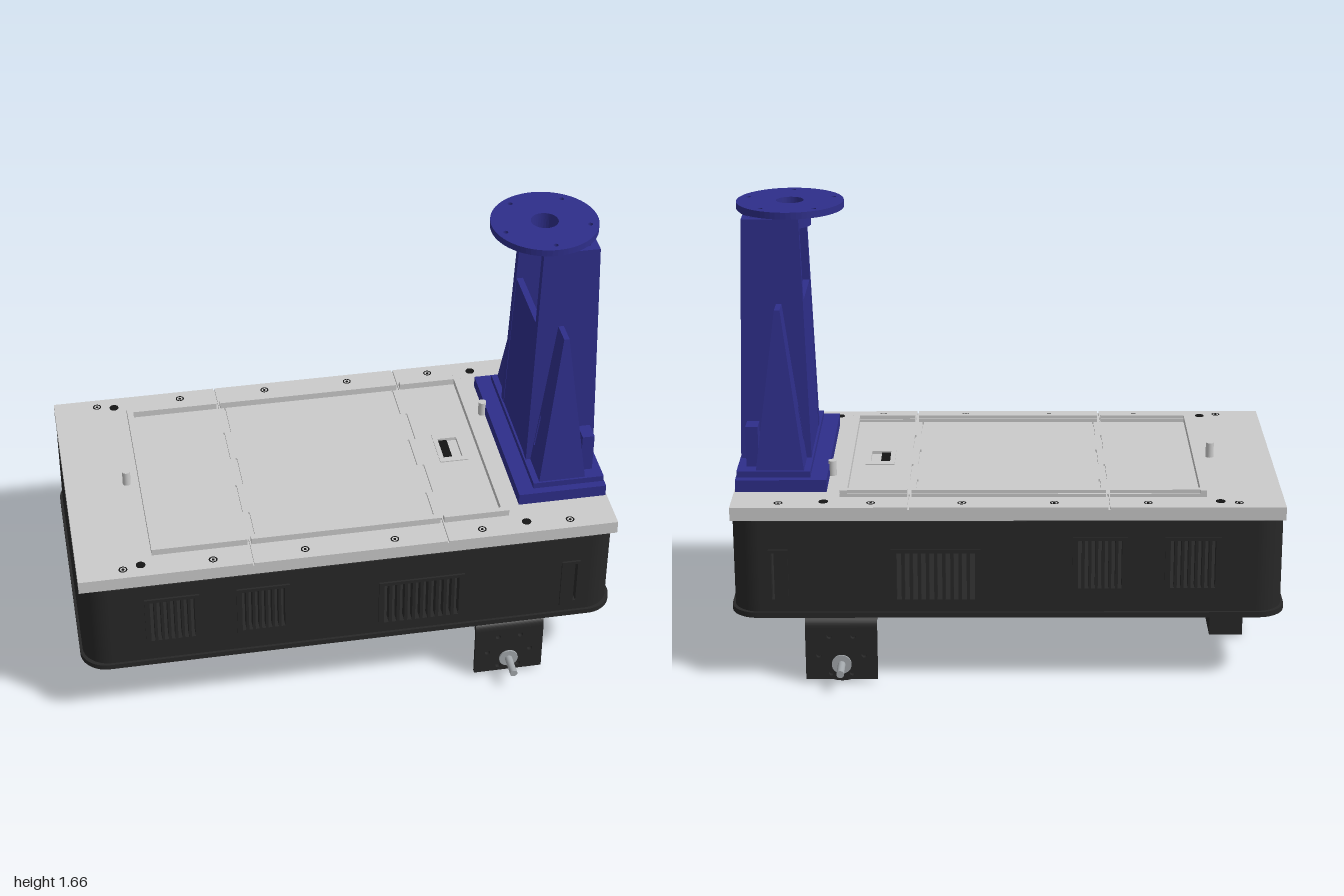
import * as THREE from 'three';

const mat = (name, color, side = THREE.FrontSide) =>
  Object.assign(new THREE.MeshStandardMaterial({ color, side }), { name });

export function createModel() {
  const root = new THREE.Group();
  const black = mat('black plastic', 0x272727);
  const grey = mat('light grey lid', 0xcacaca);
  const blue = mat('blue tower', 0x2e2e8a);
  const steel = mat('motor steel', 0xa3a8ac);
  const dark = mat('dark fasteners', 0x141414);

  const add = (name, geo, m, parent = root) => {
    const mesh = new THREE.Mesh(geo, m);
    mesh.name = name;
    parent.add(mesh);
    return mesh;
  };
  // box from min/max limits
  const box = (name, m, x0, x1, y0, y1, z0, z1, parent) =>
    add(name, new THREE.BoxGeometry(x1 - x0, y1 - y0, z1 - z0)
      .translate((x0 + x1) / 2, (y0 + y1) / 2, (z0 + z1) / 2), m, parent);
  const cylY = (name, m, r, x, y0, y1, z, parent) =>
    add(name, new THREE.CylinderGeometry(r, r, y1 - y0, 24).translate(x, (y0 + y1) / 2, z), m, parent);
  const cylZ = (name, m, r, x, y, z0, z1, parent, n = 32) =>
    add(name, new THREE.CylinderGeometry(r, r, z1 - z0, n).rotateX(Math.PI / 2)
      .translate(x, y, (z0 + z1) / 2), m, parent);
  const poly = (pts) => new THREE.Shape(pts.map(([a, b]) => new THREE.Vector2(a, b)));
  const rect = (a0, a1, b0, b1) => poly([[a0, b0], [a1, b0], [a1, b1], [a0, b1]]);
  const circle = (x, y, r) => new THREE.Shape().absarc(x, y, r, 0, Math.PI * 2);
  const extrude = (shape, depth) =>
    new THREE.ExtrudeGeometry(shape, { depth, bevelEnabled: false, curveSegments: 16 });
  // plan shape drawn as (x, -z), raised from y0 to y1
  const slab = (shape, y0, y1) => extrude(shape, y1 - y0).rotateX(-Math.PI / 2).translate(0, y0, 0);
  const roundRect = (w, d, r) => new THREE.Shape()
    .moveTo(-w + r, -d).lineTo(w - r, -d).absarc(w - r, -d + r, r, -Math.PI / 2, 0)
    .lineTo(w, d - r).absarc(w - r, d - r, r, 0, Math.PI / 2)
    .lineTo(-w + r, d).absarc(-w + r, d - r, r, Math.PI / 2, Math.PI)
    .lineTo(-w, -d + r).absarc(-w + r, -d + r, r, Math.PI, Math.PI * 1.5);

  // Hollow body: floor flange, rounded ends, slotted long walls
  add('floorFlange', slab(roundRect(1, 0.55, 0.1), 0.262, 0.282), black);
  const R = 0.1, T = 0.03, EX = 0.99, EZ = 0.54;
  const end = new THREE.Shape()
    .moveTo(EX - R, -EZ).absarc(EX - R, -EZ + R, R, -Math.PI / 2, 0)
    .lineTo(EX, EZ - R).absarc(EX - R, EZ - R, R, 0, Math.PI / 2)
    .lineTo(EX - R, EZ - T).absarc(EX - R, EZ - R, R - T, Math.PI / 2, 0, true)
    .lineTo(EX - T, -EZ + R).absarc(EX - R, -EZ + R, R - T, 0, -Math.PI / 2, true);
  for (const turn of [0, Math.PI])
    add('bodyEnd', slab(end, 0.282, 0.63), black).rotation.y = turn;

  // Vents: x0, x1, y0, y1, slot count
  const vents = [
    [-0.747, -0.575, 0.375, 0.557, 7], [-0.412, -0.245, 0.375, 0.557, 7],
    [0.113, 0.405, 0.332, 0.51, 10], [0.836, 0.848, 0.332, 0.51, 1],
  ];
  const wall = rect(-EX + R, EX - R, 0.282, 0.63);
  const frames = [];
  for (const [x0, x1, y0, y1, n] of vents) {
    const pitch = (x1 - x0) / n, w = n > 1 ? pitch * 0.6 : 0.01;
    const frame = n > 1 ? rect(x0 - 0.014, x1 + 0.014, y0 - 0.015, y1 + 0.013)
      : rect(0.787, 0.857, 0.31, 0.522);
    for (let i = 0; i < n; i++) {
      const c = x0 + (i + 0.5) * pitch;
      wall.holes.push(rect(c - w / 2, c + w / 2, y0, y1));
      frame.holes.push(rect(c - w / 2, c + w / 2, y0, y1));
    }
    frames.push(frame);
  }
  for (const s of [1, -1]) {
    add('bodyWall', extrude(wall, T).translate(0, 0, s > 0 ? EZ - T : -EZ), black);
    for (const f of frames)
      add('ventFrame', extrude(f, 0.008).translate(0, 0, s > 0 ? EZ : -EZ - 0.008), black);
  }
  box('castorBlock', black, -0.89, -0.765, 0.01, 0.265, -0.14, 0.14);

  // Lid: base plate and three interlocking panels
  const LZ = 0.535;
  box('lidBase', grey, -0.99, 0.99, 0.63, 0.671, -LZ, LZ);
  const seam = (flat, tab, d) => {
    const pts = [[flat + d, -LZ]];
    const zs = [-0.4, -0.245, -0.08, 0.08, 0.245, 0.4];
    zs.forEach((z, i) => {
      const a = i % 2 ? tab : flat, b = i % 2 ? flat : tab;
      pts.push([a + d, z], [b + d, z]);
    });
    pts.push([flat + d, LZ]);
    return pts;
  };
  const g = 0.003;
  const leftPanel = poly([[-0.99, LZ], [-0.99, -LZ], ...seam(-0.36, -0.335, -g)]);
  const midPanel = poly([...seam(-0.36, -0.335, g).reverse(), ...seam(0.355, 0.33, -g)]);
  const rightPanel = poly([...seam(0.355, 0.33, g).reverse(), [0.99, -LZ], [0.99, LZ]]);
  rightPanel.holes.push(rect(0.44, 0.512, -0.055, 0.06));
  for (const p of [leftPanel, midPanel, rightPanel]) add('lidPanel', slab(p, 0.671, 0.68), grey);

  // Raised hatch rim
  for (const s of [1, -1])
    for (const [a, b] of [[-0.715, -0.367], [-0.352, 0.347], [0.362, 0.605]]) {
      box('hatchRim', grey, a, b, 0.68, 0.705, s * 0.415 - 0.008, s * 0.415 + 0.014);
      box('hatchRimStep', grey, a, b, 0.68, 0.692, s * 0.415 - 0.014, s * 0.415 + 0.014);
    }
  for (const [a, b] of [[-0.715, -0.692], [0.578, 0.603]]) {
    box('hatchRimEnd', grey, a, b, 0.68, 0.705, -0.429, 0.429);
  }

  // Switch window and guide pegs
  const bezel = rect(0.422, 0.53, -0.08, 0.09);
  bezel.holes.push(rect(0.44, 0.512, -0.055, 0.06));
  add('switchBezel', slab(bezel, 0.68, 0.684), grey);
  box('switch', dark, 0.441, 0.475, 0.671, 0.677, -0.058, 0.053);
  cylY('peg', grey, 0.015, -0.76, 0.68, 0.737, 0);
  cylY('peg', grey, 0.015, 0.645, 0.68, 0.737, -0.195);

  // Lid screws
  for (const s of [1, -1]) {
    for (const x of [-0.825, -0.5, -0.165, 0.165, 0.49, 0.82]) {
      add('screwRing', new THREE.RingGeometry(0.011, 0.016, 20).rotateX(-Math.PI / 2)
        .translate(x, 0.6815, s * 0.49), dark);
      cylY('screwCentre', dark, 0.005, x, 0.68, 0.682, s * 0.49);
    }
    for (const x of [-0.76, 0.66]) cylY('screwHole', dark, 0.017, x, 0.68, 0.682, s * 0.475);
  }

  // Tower, tapering upward
  const tower = new THREE.Group();
  tower.name = 'tower';
  root.add(tower);
  const taper = (geo, cx, y0, y1, kx, kz = 1) => {
    const p = geo.attributes.position;
    for (let i = 0; i < p.count; i++) {
      const t = (p.getY(i) - y0) / (y1 - y0);
      p.setX(i, cx + (p.getX(i) - cx) * (1 + (kx - 1) * t));
      p.setZ(i, p.getZ(i) * (1 + (kz - 1) * t));
    }
    geo.computeVertexNormals();
    return geo;
  };
  box('towerBase', blue, 0.655, 0.985, 0.68, 0.725, -0.375, 0.375, tower);
  box('towerStep', blue, 0.715, 0.982, 0.725, 0.748, -0.345, 0.345, tower);
  const channel = poly([[0.72, -0.2], [0.98, -0.2], [0.98, 0.2], [0.72, 0.2],
    [0.72, 0.165], [0.945, 0.165], [0.945, -0.165], [0.72, -0.165]]);
  add('towerColumn', taper(slab(channel, 0.725, 1.64), 0.85, 0.725, 1.64, 0.79, 0.85), blue, tower);
  const panel = slab(rect(0.722, 0.75, -0.166, 0.166), 0.725, 1.33);
  add('towerPanel', taper(panel, 0.85, 0.725, 1.64, 0.79, 0.85), blue, tower);

  // Side gussets with a slot beside the column
  const gusset = poly([[-0.34, 0.725], [-0.16, 0.725], [-0.16, 1.33], [-0.265, 1.33]]);
  gusset.holes.push(rect(-0.212, -0.2, 0.82, 0.95));
  for (const s of [1, -1]) {
    const geo = extrude(gusset, 0.18).rotateY(Math.PI / 2).translate(-0.09, 0, 0);
    const m = add('gusset', taper(geo, 0, 0.725, 1.33, 0.11), blue, tower);
    m.position.x = 0.825;
    m.rotation.y = s > 0 ? 0 : Math.PI;
    const z = s * 0.26;
    box('gussetRib', blue, 0.905, 0.95, 0.745, 0.9, z - 0.035, z + 0.035, tower);
  }

  // Mounting disc, hub and supporting cone
  const disc = circle(0.79, 0, 0.195);
  disc.holes.push(circle(0.79, 0, 0.05));
  for (let i = 0; i < 5; i++) {
    const a = -Math.PI / 2 + i * Math.PI * 0.4;
    disc.holes.push(circle(0.79 + 0.163 * Math.cos(a), 0.163 * Math.sin(a), 0.009));
  }
  add('mountDisc', new THREE.ExtrudeGeometry(disc, { depth: 0.025, bevelEnabled: false, curveSegments: 32 })
    .rotateX(-Math.PI / 2).translate(0, 1.645, 0), blue, tower);
  const hub = circle(0.79, 0, 0.075);
  hub.holes.push(circle(0.79, 0, 0.05));
  add('discHub', slab(hub, 1.58, 1.645), blue, tower);
  const blueOpen = blue.clone();
  blueOpen.name = 'blue tower open';
  blueOpen.side = THREE.DoubleSide;
  add('discCone', new THREE.CylinderGeometry(0.195, 0.155, 0.035, 24, 1, true, Math.PI / 2 - 0.75, 1.5)
    .translate(0.79, 1.6275, 0), blueOpen, tower);

  // Drive units: bent bracket, motor and shaft
  for (const s of [1, -1]) {
    const u = new THREE.Group();
    u.name = 'driveUnit';
    u.position.x = 0.603;
    u.rotation.y = s > 0 ? 0 : Math.PI;
    root.add(u);
    const plate = rect(-0.13, 0.13, 0.018, 0.22);
    for (const [x, y] of [[0.043, 0.187], [0.082, 0.113], [0.038, 0.042]])
      for (const k of [1, -1]) plate.holes.push(circle(k * x, y, 0.01));
    add('bracketPlate', extrude(plate, 0.015).translate(0, 0, 0.53), black, u);
    // bend and top flange, drawn as (-z, y)
    const bend = new THREE.Shape().moveTo(-0.545, 0.22)
      .absarc(-0.5, 0.218, 0.045, Math.PI, Math.PI / 2, true)
      .lineTo(-0.3, 0.263).lineTo(-0.3, 0.245).lineTo(-0.5, 0.245)
      .absarc(-0.5, 0.215, 0.03, Math.PI / 2, Math.PI).lineTo(-0.53, 0.22);
    add('bracketFlange', extrude(bend, 0.26).rotateY(Math.PI / 2).translate(-0.13, 0, 0), black, u);
    cylZ('gearboxCap', black, 0.105, 0, 0.11, 0.522, 0.53, u);
    cylZ('gearbox', steel, 0.098, 0, 0.115, 0.375, 0.522, u);
    cylZ('motorCan', steel, 0.092, 0, 0.117, 0.25, 0.375, u);
    cylZ('rearBoss', steel, 0.02, 0, 0.117, 0.232, 0.25, u);
    for (const k of [1, -1])
      box('terminal', dark, -0.012, 0.012, 0.115 + k * 0.068 - 0.002, 0.115 + k * 0.068 + 0.002, 0.215, 0.25, u);
    cylZ('shaftBoss', steel, 0.036, 0, 0.078, 0.53, 0.552, u);
    cylZ('shaft', steel, 0.014, 0, 0.078, 0.552, 0.637, u, 20);
  }
  return root;
}
